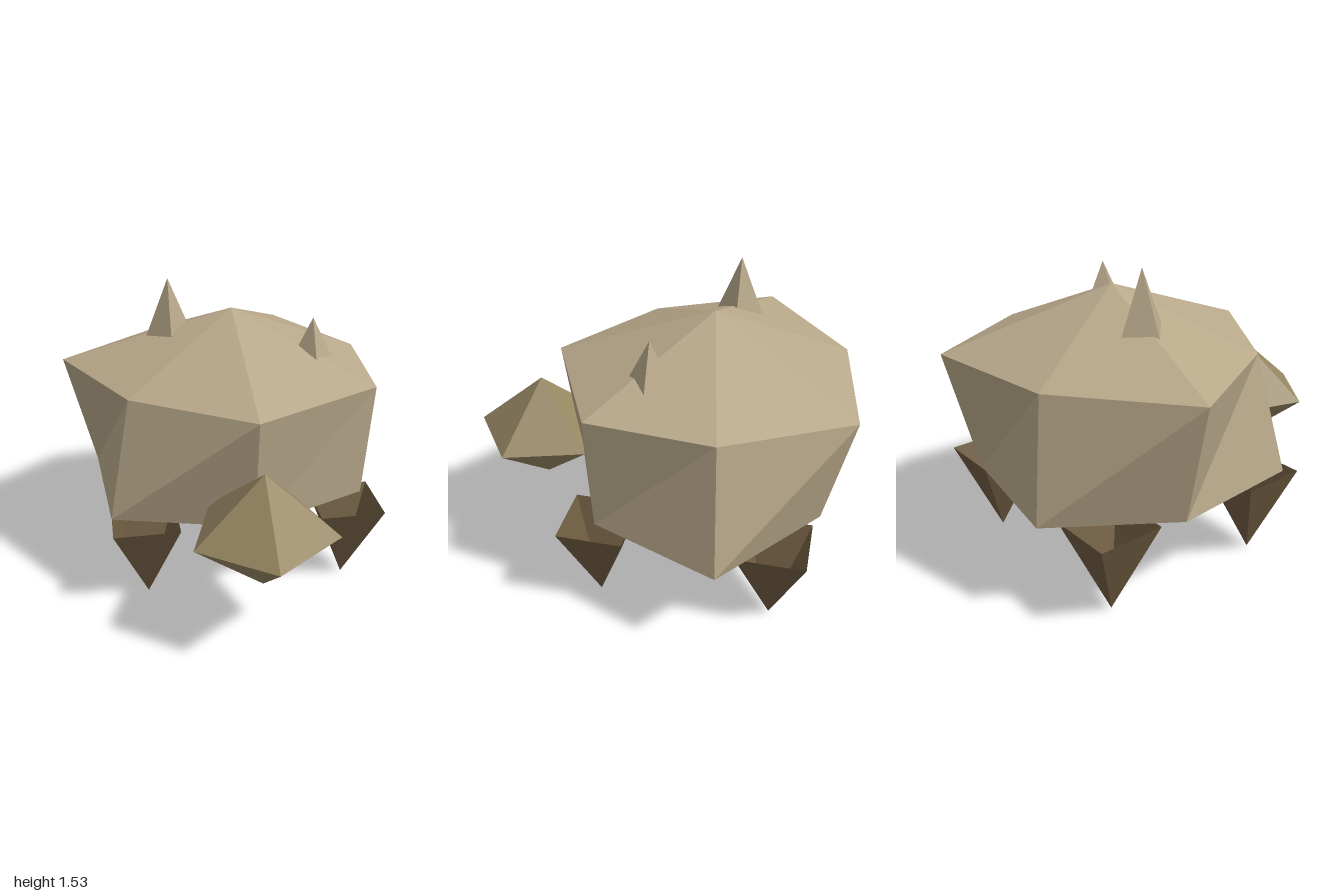
import * as THREE from 'three';

const material = (color) =>
  new THREE.MeshStandardMaterial({ color, flatShading: true, side: THREE.DoubleSide });

// Open faceted cone, apex up (or down when flipped), base centred on x, y, z
function spike(name, radius, height, sides, mat, [x, y, z], { turn = 0, down = false } = {}) {
  const geometry = new THREE.ConeGeometry(radius, height, sides, 1, true);
  geometry.rotateY(turn);
  geometry.translate(0, height / 2, 0);
  if (down) geometry.rotateZ(Math.PI);
  const mesh = new THREE.Mesh(geometry, mat);
  mesh.name = name;
  mesh.position.set(x, y, z);
  return mesh;
}

// Irregular boulder: two seven-sided rings closed by an apex above and below
function boulder() {
  const top = [0.01, 1.385, -0.28];
  const bottom = [0.01, 0.19, -0.28];
  const upper = [[0.01, 0.51], [0.66, 0.19], [0.71, -0.42], [0.39, -1],
    [-0.31, -0.91], [-0.87, -0.46], [-0.56, 0.14]].map(([x, z]) => [x, 1.09, z]);
  const lower = [[0.01, 0.42], [0.62, 0.17], [0.865, -0.46], [0.31, -0.88],
    [-0.35, -0.985], [-0.73, -0.45], [-0.68, 0.23]].map(([x, z]) => [x, 0.49, z]);
  const points = [];
  for (let i = 0; i < 7; i++) {
    const j = (i + 1) % 7;
    points.push(top, upper[i], upper[j]);
    points.push(upper[i], lower[i], upper[j]);
    points.push(lower[i], lower[j], upper[j]);
    points.push(bottom, lower[j], lower[i]);
  }
  const geometry = new THREE.BufferGeometry();
  geometry.setAttribute('position', new THREE.Float32BufferAttribute(points.flat(), 3));
  geometry.computeVertexNormals();
  return geometry;
}

export function createModel() {
  const group = new THREE.Group();
  const bodyMat = material(0xb8a88a);
  const headMat = material(0x968662);
  const legMat = material(0x6e5c40);

  const body = new THREE.Mesh(boulder(), bodyMat);
  body.name = 'body';
  group.add(body);

  // Head: five-sided double pyramid
  const head = new THREE.Group();
  head.name = 'head';
  const centre = [0.01, 0.6, 0.63];
  head.add(
    spike('headTop', 0.36, 0.3, 5, headMat, centre),
    spike('headBottom', 0.36, 0.296, 5, headMat, centre, { down: true }),
  );
  group.add(head);

  // Legs: square pyramids pointing down
  const legs = {
    frontRightLeg: [-0.513, 0.175],
    frontLeftLeg: [0.537, 0.175],
    backRightLeg: [-0.475, -0.685],
    backLeftLeg: [0.503, -0.685],
  };
  for (const [name, [x, z]] of Object.entries(legs)) {
    group.add(spike(name, 0.235, 0.45, 4, legMat, [x, 0.45, z], { turn: Math.PI / 4, down: true }));
  }

  // Spikes on the back
  group.add(
    spike('rightBackSpike', 0.12, 0.3, 4, bodyMat, [-0.307, 1.235, -0.35]),
    spike('leftBackSpike', 0.12, 0.24, 4, bodyMat, [0.387, 1.145, -0.05]),
  );
  return group;
}
